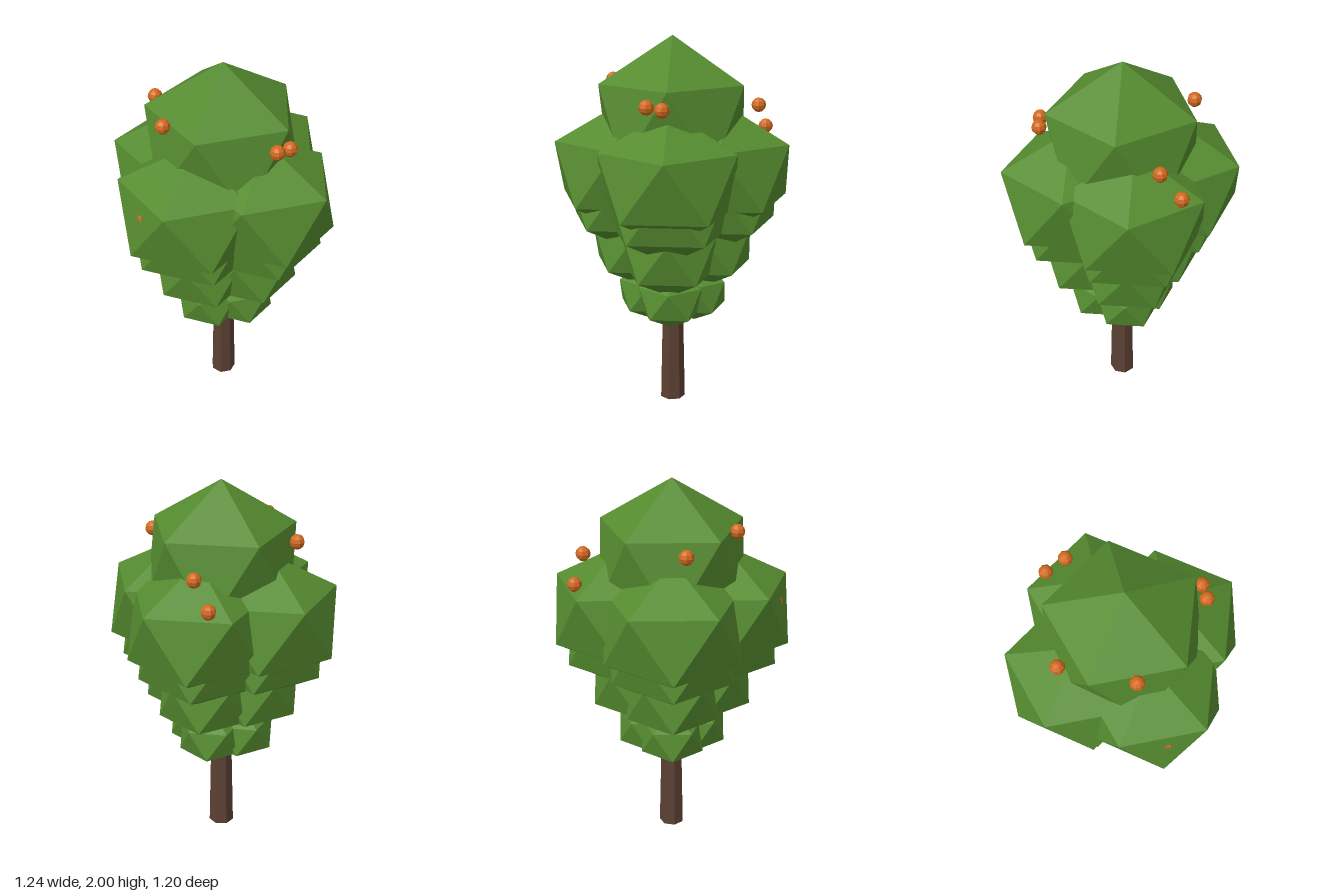
import * as THREE from 'three';

const material = (name, color) => {
  const m = new THREE.MeshStandardMaterial({ color, flatShading: true });
  m.name = name;
  return m;
};

// Icosahedron standing on a vertex, sized by the radius of its vertex rings
function foliageBlob(ringRadius, squash) {
  const g = new THREE.IcosahedronGeometry(ringRadius * Math.sqrt(5) / 2);
  g.rotateZ(-Math.atan(2 / (1 + Math.sqrt(5))));
  g.scale(1, squash, 1);
  return g;
}

export function createModel() {
  const tree = new THREE.Group();
  tree.name = 'fruitTree';
  const leaf = material('leaf green', 0x558b2f);
  const bark = material('bark brown', 0x5c4033);
  const orange = material('fruit orange', 0xd2691e);

  const add = (name, geometry, mat, x, y, z, parent = tree) => {
    const mesh = new THREE.Mesh(geometry, mat);
    mesh.name = name;
    mesh.position.set(x, y, z);
    parent.add(mesh);
    return mesh;
  };

  // Tapered seven-sided trunk
  const trunk = add('trunk', new THREE.CylinderGeometry(0.047, 0.069, 1, 7), bark, 0, 0.5, 0);
  trunk.rotation.y = Math.PI;

  // Tiers of four blobs around the trunk: [height, ring radius, offset from the axis]
  const tiers = [
    [0.625, 0.172, 0.119],
    [0.898, 0.25, 0.175],
    [1.173, 0.325, 0.23],
    [1.311, 0.36, 0.258],
  ];
  tiers.forEach(([y, radius, offset], i) => {
    const tier = new THREE.Group();
    tier.name = `foliageTier${i + 1}`;
    tree.add(tier);
    const blob = foliageBlob(radius, 0.86);
    for (const [dx, dz] of [[1, 0], [-1, 0], [0, 1], [0, -1]]) {
      add('foliageBlob', blob, leaf, dx * offset, y, dz * offset, tier);
    }
  });

  // Crown
  add('crown', foliageBlob(0.385, 0.99), leaf, 0, 1.574, 0);

  // Fruit scattered around the upper foliage
  const fruit = new THREE.SphereGeometry(0.038, 8, 6);
  [
    [-0.174, 1.51, -0.485],
    [-0.078, 1.637, -0.444],
    [-0.385, 1.717, 0.062],
    [0.412, 1.685, 0.02],
    [0.393, 1.695, 0.097],
    [-0.113, 1.759, 0.321],
    [-0.063, 1.37, 0.532],
  ].forEach(([x, y, z]) => add('fruit', fruit, orange, x, y, z));

  return tree;
}
